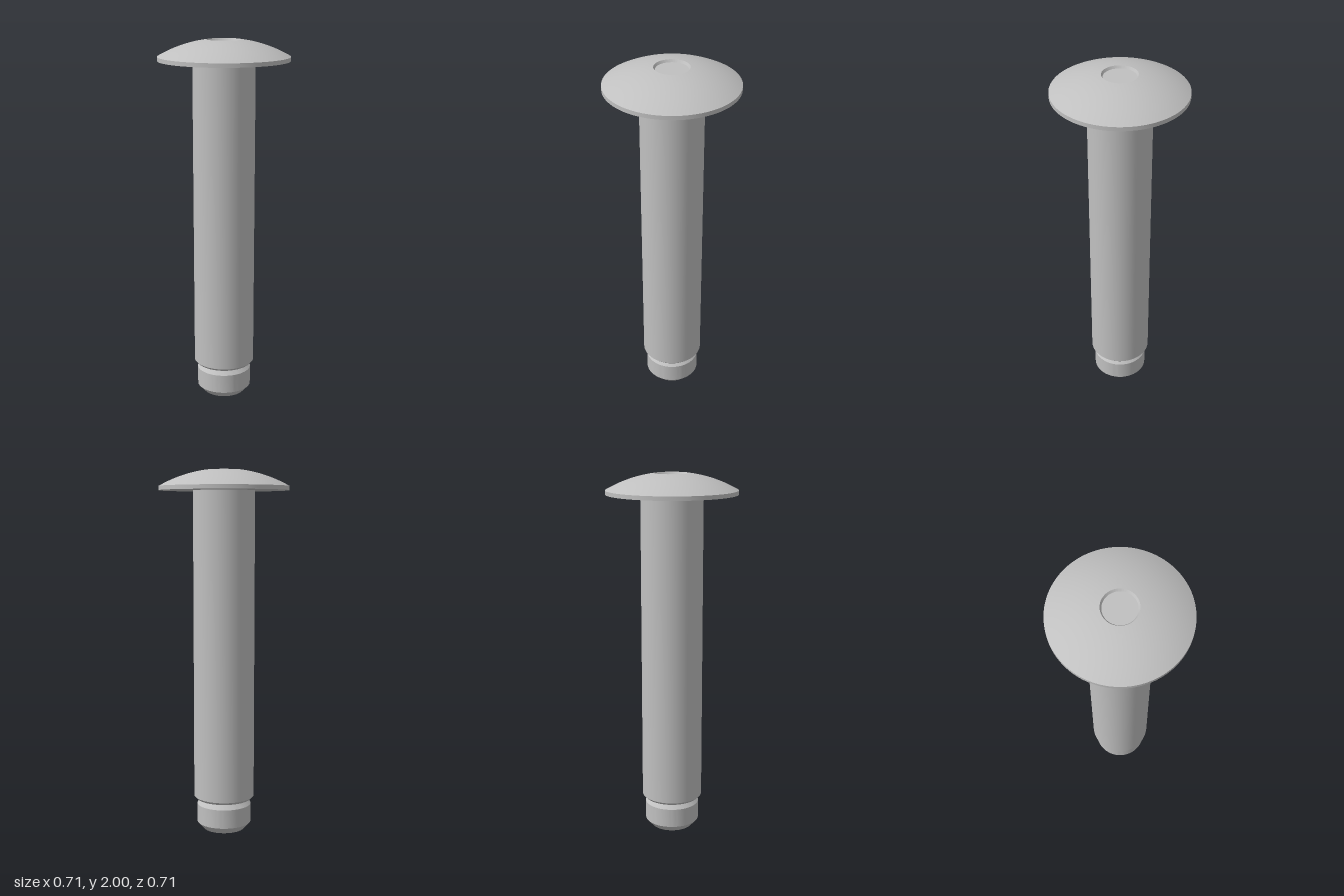
import * as THREE from 'three';
import { toCreasedNormals } from 'three/addons/utils/BufferGeometryUtils.js';

export function createModel() {
  const group = new THREE.Group();
  group.name = 'pin';
  const metal = new THREE.MeshStandardMaterial({ color: 0xc0c0c0 });
  metal.name = 'grey metal';

  // Turned part from [radius, height] points, listed bottom to top
  function turn(name, points) {
    const profile = points.map(([r, y]) => new THREE.Vector2(r, y));
    const geometry = toCreasedNormals(new THREE.LatheGeometry(profile, 96), 0.25);
    const mesh = new THREE.Mesh(geometry, metal);
    mesh.name = name;
    group.add(mesh);
  }

  // Chamfered tip below the groove, with its sloped shoulder
  turn('tip', [[0, 0], [0.115, 0], [0.15, 0.038], [0.15, 0.143], [0.122, 0.172], [0.122, 0.178]]);

  // Long shank with a small chamfer at its lower edge
  turn('shank', [[0.122, 0.176], [0.155, 0.176], [0.168, 0.19], [0.168, 1.892]]);

  // Domed head: thin rim, spherical cap and shallow round recess
  const domeRadius = 0.713, rim = 0.354, recess = 0.093;
  const centreY = 2 - Math.sqrt(domeRadius ** 2 - recess ** 2);
  const start = Math.asin(rim / domeRadius), end = Math.asin(recess / domeRadius);
  const head = [[0.16, 1.89], [rim, 1.89]];
  for (let i = 0; i <= 16; i++) {
    const a = THREE.MathUtils.lerp(start, end, i / 16);
    head.push([domeRadius * Math.sin(a), centreY + domeRadius * Math.cos(a)]);
  }
  head.push([0.085, 1.987], [0, 1.987]);
  turn('head', head);

  return group;
}
